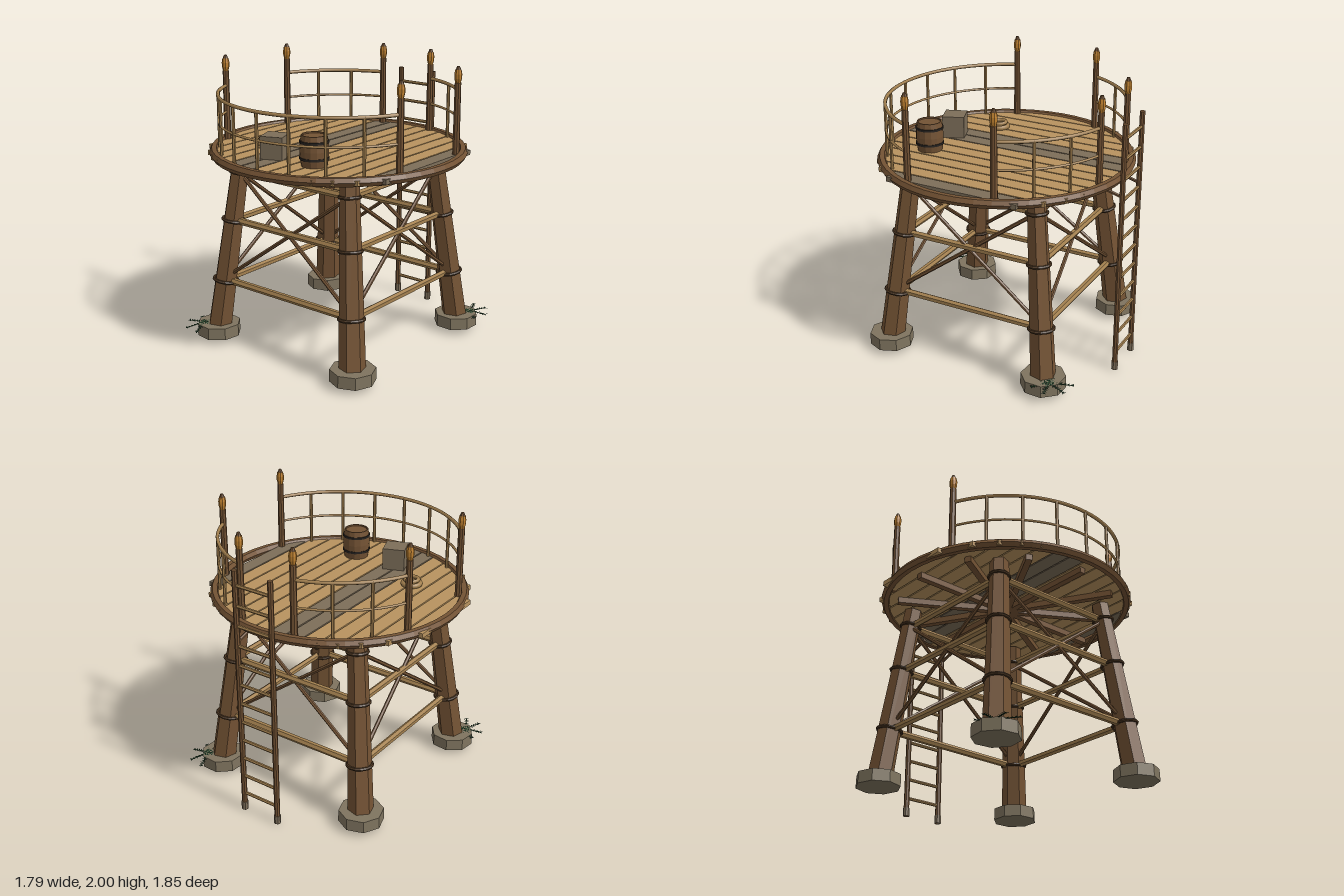
import * as THREE from 'three';

const mat = (name, color) => {
  const m = new THREE.MeshStandardMaterial({ color });
  m.name = name;
  return m;
};

export function createModel() {
  const timber = mat('brown timber', 0x745334);
  const plankTan = mat('plank tan', 0xb8935f);
  const railTan = mat('rail tan', 0xa3804f);
  const weathered = mat('weathered wood', 0x7d6e59);
  const stone = mat('stone', 0x7f745f);
  const amber = mat('amber', 0xc08230);
  const iron = mat('iron', 0x26221f);
  const binding = mat('dark binding', 0x4a3521);
  const leaf = mat('leaf green', 0x24452b);

  const root = new THREE.Group();
  root.name = 'watchPlatform';
  const tower = new THREE.Group();
  tower.name = 'tower';
  tower.position.z = 0.028;
  root.add(tower);

  const V = (x, y, z) => new THREE.Vector3(x, y, z);
  const UP = V(0, 1, 0);
  const rad = THREE.MathUtils.degToRad;
  const flat = (g) => {
    const f = g.index ? g.toNonIndexed() : g;
    f.computeVertexNormals();
    return f;
  };
  const add = (name, geo, material, pos = V(0, 0, 0), parent = tower) => {
    const m = new THREE.Mesh(geo, material);
    m.name = name;
    m.position.copy(pos);
    parent.add(m);
    return m;
  };
  // Straight round member between two points
  const rod = (name, a, b, r0, r1, sides, material, spin = 0) => {
    const g = new THREE.CylinderGeometry(r1, r0, a.distanceTo(b), sides).rotateY(spin);
    const m = add(name, flat(g), material, a.clone().lerp(b, 0.5));
    m.quaternion.setFromUnitVectors(UP, b.clone().sub(a).normalize());
    return m;
  };
  const onCircle = (deg, r, y) => V(Math.cos(rad(deg)) * r, y, Math.sin(rad(deg)) * r);

  // Legs lean inward and taper
  const LOW = 0.12, HIGH = 1.36;
  const lean = (y) => THREE.MathUtils.mapLinear(y, LOW, HIGH, 0.605, 0.475);
  const legRadius = (y) => THREE.MathUtils.mapLinear(y, LOW, HIGH, 0.091, 0.065);
  const legPoint = (sx, sz, y) => V(sx * lean(y), y, sz * lean(y));
  const corners = [[1, 1], [1, -1], [-1, -1], [-1, 1]];
  const tiers = [0.445, 0.89, 1.238];

  corners.forEach(([sx, sz], i) => {
    const leg = rod('leg', legPoint(sx, sz, 0.1), legPoint(sx, sz, HIGH), 0.091, 0.065, 6, timber, rad(15) * sx * sz);
    add('footStone', flat(new THREE.CylinderGeometry(0.155, 0.157, 0.085, 8).rotateY(i * 0.35)), stone,
      V(sx * 0.615, 0.079, sz * 0.612));
    for (const y of tiers) {
      const ring = add('legBinding', flat(new THREE.TorusGeometry(legRadius(y) + 0.001, 0.012, 6, 14).rotateX(Math.PI / 2)),
        binding, legPoint(sx, sz, y));
      ring.quaternion.copy(leg.quaternion);
    }
    // Horizontal beams and crossed braces to the next leg
    const [nx, nz] = corners[(i + 1) % 4];
    for (const y of tiers) rod('crossBeam', legPoint(sx, sz, y), legPoint(nx, nz, y), 0.025, 0.025, 6, railTan);
    rod('brace', legPoint(sx, sz, 0.46), legPoint(nx, nz, 1.235), 0.014, 0.014, 6, timber);
    rod('brace', legPoint(nx, nz, 0.46), legPoint(sx, sz, 1.235), 0.014, 0.014, 6, timber);
  });

  // Radial joists below the deck
  for (let i = 0; i < 12; i++) {
    const j = add('joist', new THREE.BoxGeometry(0.75, 0.042, 0.045).translate(0.405, 0, 0), timber, V(0, 1.347, 0));
    j.rotation.y = rad(30 * i);
  }

  // Deck planks cut to a circle, with a timber rim
  const pitch = 0.1175;
  for (let i = 0; i < 14; i++) {
    const x = -0.809 + i * pitch;
    const length = 2 * Math.sqrt(0.866 ** 2 - x * x);
    const grey = i === 5 || i === 6 || i === 13;
    add('deckPlank', new THREE.BoxGeometry(pitch - 0.01, 0.034, length), grey ? weathered : plankTan, V(x, 1.384, 0));
  }
  add('deckRim', flat(new THREE.TorusGeometry(0.862, 0.033, 6, 48).rotateX(Math.PI / 2)), timber, V(0, 1.387, 0));

  // Railing posts with amber lamps
  const R = 0.824;
  const lampProfile = [[0, 0], [0.018, 0], [0.026, 0.03], [0.027, 0.06], [0.021, 0.09], [0, 0.09]]
    .map(([x, y]) => new THREE.Vector2(x, y));
  for (const deg of [23, 157, 203, 255, 285, 337]) {
    rod('railPost', onCircle(deg, R, 1.37), onCircle(deg, R, 1.89), 0.025, 0.022, 8, timber);
    add('postLamp', flat(new THREE.LatheGeometry(lampProfile, 8)), amber, onCircle(deg, R, 1.888));
    add('lampCap', flat(new THREE.CylinderGeometry(0.01, 0.02, 0.026, 8)), timber, onCircle(deg, R, 1.987));
  }

  // Curved rails and balusters; the sides and the ladder gap stay open
  class RailArc extends THREE.Curve {
    constructor(from, to, y) { super(); Object.assign(this, { from, to, y }); }
    getPoint(t, target = V(0, 0, 0)) {
      return target.copy(onCircle(this.from + (this.to - this.from) * t, R, this.y));
    }
  }
  for (const [from, to, parts] of [[23, 157, 8], [203, 255, 3], [285, 337, 3]]) {
    for (const [y, r] of [[1.785, 0.013], [1.598, 0.009]]) {
      add('rail', new THREE.TubeGeometry(new RailArc(from, to, y), parts * 4, r, 6), railTan);
    }
    for (let i = 1; i < parts; i++) {
      const deg = from + ((to - from) * i) / parts;
      rod('baluster', onCircle(deg, R, 1.38), onCircle(deg, R, 1.79), 0.012, 0.012, 6, railTan);
    }
  }

  // Ladder at the back
  const LZ = -0.933;
  for (const s of [-1, 1]) {
    rod('ladderRail', V(s * 0.143, 0, LZ), V(s * 0.143, 1.81, LZ), 0.02, 0.019, 8, timber);
    rod('ladderFoot', V(s * 0.143, 0, LZ), V(s * 0.143, 0.06, LZ), 0.024, 0.024, 8, weathered);
    rod('ladderBracket', V(s * 0.143, 1.35, -0.78), V(s * 0.143, 1.305, LZ), 0.012, 0.012, 6, timber);
  }
  for (let i = 0; i < 12; i++) {
    const y = 0.135 + i * 0.1428;
    rod('ladderRung', V(-0.143, y, LZ), V(0.143, y, LZ), 0.012, 0.012, 6, railTan);
  }

  // Barrel with two iron hoops
  const barrel = new THREE.Group();
  barrel.name = 'barrel';
  barrel.position.set(0.203, 1.4, 0.5);
  tower.add(barrel);
  const staves = [[0, 0], [0.086, 0], [0.094, 0.05], [0.097, 0.105], [0.094, 0.16], [0.086, 0.21], [0.078, 0.21], [0.078, 0.2], [0, 0.2]]
    .map(([x, y]) => new THREE.Vector2(x, y));
  add('barrelBody', flat(new THREE.LatheGeometry(staves, 14)), timber, V(0, 0, 0), barrel);
  for (const y of [0.055, 0.165]) {
    add('barrelHoop', flat(new THREE.CylinderGeometry(0.099, 0.099, 0.016, 14)), iron, V(0, y, 0), barrel);
  }

  // Crate
  const crate = add('crate', new THREE.BoxGeometry(0.157, 0.157, 0.157), weathered, V(-0.138, 1.478, 0.5));
  crate.rotation.y = rad(21);

  // Coil of rope
  for (const [r, t, y] of [[0.06, 0.018, 1.417], [0.047, 0.014, 1.446]]) {
    add('ropeCoil', new THREE.TorusGeometry(r, t, 8, 24).rotateX(Math.PI / 2), railTan, V(-0.41, y, 0.284));
  }

  // Ferns on two of the foot stones
  for (const [s, turn] of [[1, 10], [-1, 195]]) {
    const fern = new THREE.Group();
    fern.name = 'fern';
    fern.position.set(s * 0.69, 0.122, -s * 0.69);
    tower.add(fern);
    for (let k = 0; k < 7; k++) {
      const frond = new THREE.Group();
      frond.name = 'frond';
      frond.rotation.set(0, rad(turn + k * 51 + (k % 2) * 9), -0.07);
      fern.add(frond);
      const len = 0.125 + 0.022 * (k % 3);
      add('stem', new THREE.BoxGeometry(len, 0.004, 0.005).translate(len / 2, 0, 0), leaf, V(0, 0, 0), frond);
      for (let j = 1; j <= 6; j++) {
        for (const side of [-1, 1]) {
          const g = new THREE.ConeGeometry(0.006, 0.024, 4).rotateZ(-Math.PI / 2).scale(1, 0.45, 1).translate(0.013, 0, 0);
          const l = add('leaflet', flat(g), leaf, V((len * j) / 6.5, 0.002, 0), frond);
          l.rotation.y = side * 0.95;
        }
      }
    }
  }
  return root;
}
